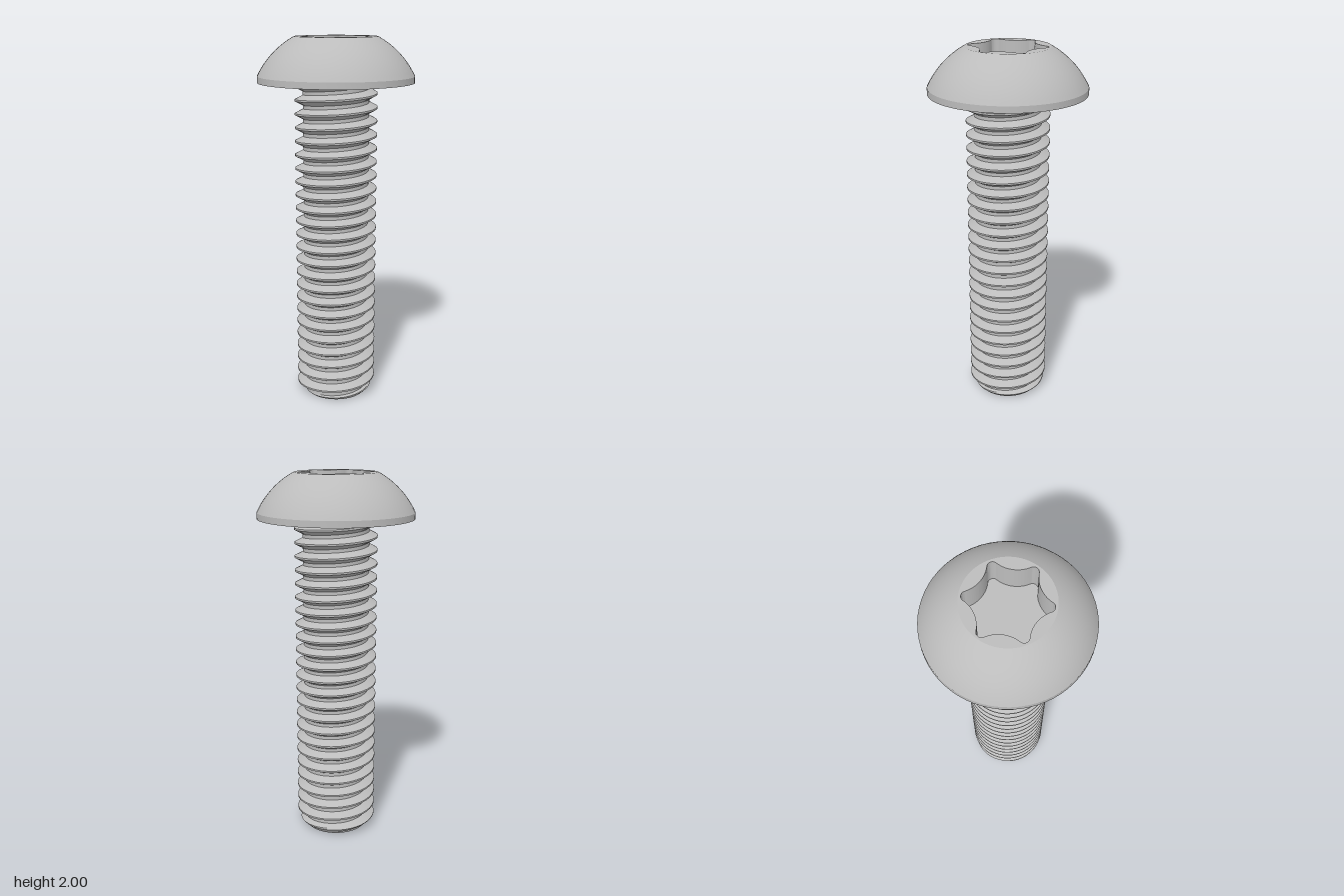
import * as THREE from 'three';
import { toCreasedNormals } from 'three/addons/utils/BufferGeometryUtils.js';

const TOP = 2, SEAT = 1.763, FLOOR = 1.84;
const PITCH = SEAT / 24, CREST = 0.221, ROOT = 0.177, PHASE = 0.026, TIP = 0.172;
const SEG = 64;

// Thread radius at a height and angle, with the chamfered lower end
function threadRadius(y, t) {
  const u = (y - PHASE) / PITCH - t / (2 * Math.PI);
  const d = Math.abs(u - Math.round(u));
  const k = THREE.MathUtils.clamp((0.375 - d) / (0.375 - 0.0625), 0, 1);
  return Math.min(ROOT + (CREST - ROOT) * k, TIP + y);
}

// Helical rows follow the crest and root edges and are cut off at both ends
function threadGeometry() {
  const steps = [-0.375, -0.27, -0.166, -0.0625, 0.0625, 0.166, 0.27, 0.375];
  const rows = [];
  for (let k = -2; k <= 25; k++) for (const s of steps) rows.push(k + s);
  const point = (u, i) => {
    const t = (i / SEG) * 2 * Math.PI;
    const y = THREE.MathUtils.clamp(PHASE + PITCH * (u + i / SEG), 0, SEAT);
    const r = threadRadius(y, t);
    return new THREE.Vector3(r * Math.cos(t), y, -r * Math.sin(t));
  };
  const pos = [];
  const tri = (a, b, c) => {
    const area = b.clone().sub(a).cross(c.clone().sub(a)).length();
    if (area > 1e-9) for (const p of [a, b, c]) pos.push(p.x, p.y, p.z);
  };
  for (let j = 0; j < rows.length - 1; j++) {
    for (let i = 0; i < SEG; i++) {
      const a = point(rows[j], i), b = point(rows[j], i + 1);
      const c = point(rows[j + 1], i + 1), d = point(rows[j + 1], i);
      tri(a, b, c);
      tri(a, c, d);
    }
  }
  const g = new THREE.BufferGeometry();
  g.setAttribute('position', new THREE.Float32BufferAttribute(pos, 3));
  return toCreasedNormals(g, 0.6);
}

// Six-lobed outline: shallow concave arcs joined by small rounded tips
function lobedOutline(path) {
  const valley = 0.304, valleyR = 0.147, tip = 0.183, tipR = 0.025;
  const tx = tip * Math.cos(Math.PI / 6), ty = tip * Math.sin(Math.PI / 6);
  const ang = Math.atan2(ty, valley - tx);
  for (let k = 0; k < 6; k++) {
    const a = k * Math.PI / 3, b = a + Math.PI / 6;
    path.absarc(valley * Math.cos(a), valley * Math.sin(a), valleyR, a + Math.PI + ang, a + Math.PI - ang, true);
    path.absarc(tip * Math.cos(b), tip * Math.sin(b), tipR, a - ang, a + Math.PI / 3 + ang, false);
  }
  return path;
}

export function createModel() {
  const steel = new THREE.MeshStandardMaterial({ color: 0xbcbcbc });
  steel.name = 'steel grey';
  const group = new THREE.Group();
  group.name = 'screw';
  const add = (name, geometry, y = 0) => {
    const m = new THREE.Mesh(geometry, steel);
    m.name = name;
    m.position.y = y;
    group.add(m);
  };

  // Threaded shank and its flat end
  add('threadedShank', threadGeometry());
  add('shankEnd', new THREE.CircleGeometry(TIP, SEG).rotateX(Math.PI / 2));

  // Domed head: flat underside, short rim, arc up to the flat top
  const rimR = 0.416, rimY = 1.797, flatR = 0.22;
  const cy = (TOP ** 2 + flatR ** 2 - rimY ** 2 - rimR ** 2) / (2 * (TOP - rimY));
  const R = Math.hypot(rimR, rimY - cy);
  const a0 = Math.atan2(rimY - cy, rimR), a1 = Math.atan2(TOP - cy, flatR);
  const profile = [new THREE.Vector2(0.17, SEAT), new THREE.Vector2(rimR, SEAT)];
  for (let i = 0; i <= 14; i++) {
    const a = a0 + (a1 - a0) * i / 14;
    profile.push(new THREE.Vector2(R * Math.cos(a), cy + R * Math.sin(a)));
  }
  add('domedHead', toCreasedNormals(new THREE.LatheGeometry(profile, SEG), 0.35));

  // Flat top with the walls of the drive socket
  const top = new THREE.Shape().absarc(0, 0, flatR, 0, Math.PI * 2, false);
  top.holes.push(lobedOutline(new THREE.Path()));
  const socket = new THREE.ExtrudeGeometry(top, { depth: TOP - FLOOR, bevelEnabled: false, curveSegments: SEG / 2 });
  add('headTopAndSocket', toCreasedNormals(socket.rotateX(-Math.PI / 2), 0.6), FLOOR);

  // Socket floor
  const floor = new THREE.ShapeGeometry(lobedOutline(new THREE.Shape()), SEG / 2);
  add('socketFloor', floor.rotateX(-Math.PI / 2), FLOOR);

  return group;
}
